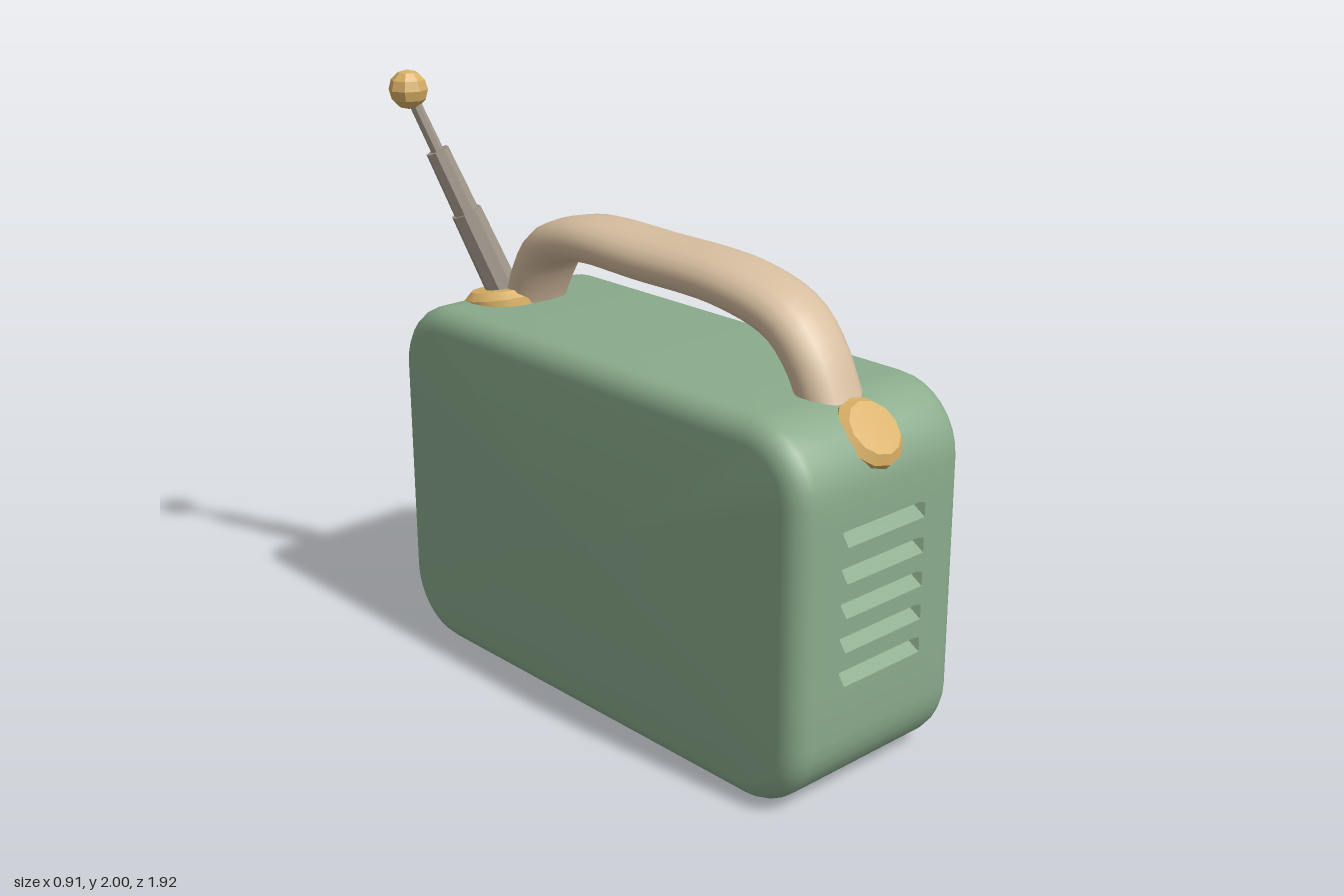
import * as THREE from 'three';
import { toCreasedNormals } from 'three/addons/utils/BufferGeometryUtils.js';

const paint = (name, color) => {
  const m = new THREE.MeshStandardMaterial({ color });
  m.name = name;
  return m;
};

export function createModel() {
  const green = paint('sage green', 0x8aab8c);
  const cream = paint('cream', 0xd6bd9f);
  const gold = paint('gold', 0xd9b066);
  const dark = paint('dark brown', 0x5c5148);
  const metal = paint('antenna grey', 0xa0968a);

  const model = new THREE.Group();
  model.name = 'radio';
  const add = (name, geometry, material, crease = 0.7) => {
    const mesh = new THREE.Mesh(toCreasedNormals(geometry, crease), material);
    mesh.name = name;
    model.add(mesh);
    return mesh;
  };
  const lathe = (pts, sides) =>
    new THREE.LatheGeometry(pts.map(([r, h]) => new THREE.Vector2(r, h)), sides);
  // turned part whose axis points out of the speaker face (+x)
  const faceLathe = (name, pts, sides, material, x, y, z, tilt = 0) => {
    const mesh = add(name, lathe(pts, sides), material);
    mesh.rotation.z = -Math.PI / 2 + tilt;
    mesh.position.set(x, y, z);
  };

  add('body', bodyGeometry(), green, 0.6);

  // speaker
  faceLathe('speakerRing', [[0.5, -0.01], [0.525, 0.015], [0.53, 0.045], [0.505, 0.078],
    [0.465, 0.085], [0.43, 0.065], [0.42, 0]], 32, cream, 0.285, 0.665, 0.22, 0.02);
  faceLathe('speakerCone', [[0.435, 0.055], [0.4, 0.052], [0.27, 0.035], [0.25, 0.042],
    [0.15, 0.032], [0.11, 0.055], [0.06, 0.072], [0, 0.077]], 32, dark, 0.285, 0.665, 0.22, 0.02);

  // knobs with their collars
  for (const [name, y, z, r, h, sides] of [
    ['largeKnob', 0.83, -0.625, 0.18, 0.17, 14],
    ['smallKnob', 0.36, -0.615, 0.122, 0.125, 10],
  ]) {
    faceLathe(name + 'Collar', [[r + 0.02, 0], [r + 0.012, 0.025], [0, 0.025]], 20, green, 0.283, y, z);
    faceLathe(name, [[r - 0.005, 0], [r, h - 0.025], [r - 0.02, h], [0, h]], sides, gold, 0.283, y, z);
  }

  // handle: a tube widened across x, widest in the middle
  const path = new THREE.CatmullRomCurve3([
    [0.78, 1.08], [0.73, 1.19], [0.67, 1.31], [0.57, 1.41], [0.35, 1.47], [0, 1.48],
    [-0.38, 1.475], [-0.53, 1.42], [-0.61, 1.31], [-0.66, 1.19], [-0.68, 1.1],
  ].map(([z, y]) => new THREE.Vector3(0, y, z)));
  const tube = new THREE.TubeGeometry(path, 40, 0.073, 16, false);
  const pos = tube.attributes.position;
  for (let i = 0; i < pos.count; i++) {
    const u = pos.getX(i) / 0.073;
    const width = 0.105 + 0.037 * Math.max(0, 1 - (pos.getZ(i) / 0.75) ** 2);
    pos.setX(i, -0.07 + Math.sign(u) * Math.abs(u) ** 0.7 * width);
  }
  add('handle', tube, cream, 1.0);

  // gold mounts for the handle and the antenna
  const mount = (name, r, x, y, z, rx) => {
    const mesh = add(name, lathe([[r, -0.06], [r, 0.025], [r - 0.025, 0.05], [0, 0.055]], 12), gold);
    mesh.position.set(x, y, z);
    mesh.rotation.x = rx;
  };
  mount('handleMount', 0.115, -0.07, 1.12, 0.865, 0.8);
  mount('antennaMount', 0.135, -0.155, 1.2, -0.71, -0.18);

  // telescopic antenna
  const at = (y) => new THREE.Vector3(-0.143 - 0.333 * (y - 1.2), y, -0.7 - 0.255 * (y - 1.2));
  const lean = at(2).sub(at(1)).normalize();
  for (const [name, y0, y1, r] of [
    ['antennaBase', 1.18, 1.52, 0.056],
    ['antennaMiddle', 1.5, 1.73, 0.042],
    ['antennaTip', 1.7, 1.93, 0.021],
  ]) {
    const a = at(y0), b = at(y1);
    const part = add(name, new THREE.CylinderGeometry(r * 0.95, r * 1.05, a.distanceTo(b), 8), metal);
    part.position.copy(a).lerp(b, 0.5);
    part.quaternion.setFromUnitVectors(new THREE.Vector3(0, 1, 0), lean);
  }
  add('antennaBall', new THREE.SphereGeometry(0.065, 8, 6), gold, 0.4).position.copy(at(1.935));

  return model;
}

// rounded case lofted along x, with vent grooves pressed into both ends
function bodyGeometry() {
  const halfZ = 0.952, halfY = 0.61, radius = 0.23, edge = 0.075;
  const vents = [0.425, 0.535, 0.645, 0.755, 0.87];

  const profile = (inset, depth) => {
    const pts = [];
    const r = radius - inset;
    const side = (s, list) => {
      for (const y of list) {
        const edgeZ = halfZ - inset;
        const trio = [[y - 0.03, 0], [y + 0.018, depth], [y + 0.025, 0]];
        if (s < 0) trio.reverse();
        for (const [py, d] of trio) pts.push([s * (edgeZ - d), py]);
      }
    };
    const corner = (sz, sy, start) => {
      for (let i = 0; i <= 8; i++) {
        const a = start + (i / 8) * Math.PI / 2;
        pts.push([sz * (halfZ - radius) + r * Math.cos(a), halfY + sy * (halfY - radius) + r * Math.sin(a)]);
      }
    };
    side(1, vents);
    corner(1, 1, 0);
    corner(-1, 1, Math.PI / 2);
    side(-1, [...vents].reverse());
    corner(-1, -1, Math.PI);
    corner(1, -1, Math.PI * 1.5);
    return pts;
  };

  // stations along x: [x, inset, groove depth]
  const stations = [];
  for (let i = 0; i <= 5; i++) {
    const a = (i / 5) * Math.PI / 2;
    stations.push([-0.43 + edge * (1 - Math.sin(a)), edge * (1 - Math.cos(a)), 0]);
  }
  stations.reverse();
  stations.forEach((s) => { s[0] = -0.43 + edge - (s[0] + 0.43); });
  const rim = stations.map(([x, inset]) => [x + 0.43, inset]);
  stations.length = 0;
  for (let i = 0; i < rim.length; i++) {
    const a = (i / 5) * Math.PI / 2;
    rim[i] = [edge * (1 - Math.cos(a)), edge * (1 - Math.sin(a))];
    stations.push([-0.43 + rim[i][0], rim[i][1], 0]);
  }
  stations.push([-0.25, 0, 0], [-0.225, 0, 0.035], [0.085, 0, 0.035], [0.11, 0, 0]);
  for (const [d, inset] of [...rim].reverse()) stations.push([0.29 - d, inset, 0]);

  const positions = [], index = [];
  let n = 0;
  for (const [x, inset, depth] of stations) {
    const ring = profile(inset, depth);
    n = ring.length;
    for (const [z, y] of ring) positions.push(x, y, z);
  }
  const last = (stations.length - 1) * n;
  const c0 = positions.length / 3;
  positions.push(-0.43, halfY, 0, 0.29, halfY, 0);
  for (let j = 0; j < n; j++) {
    const k = (j + 1) % n;
    for (let a = 0; a < last; a += n) index.push(a + j, a + n + j, a + k, a + n + j, a + n + k, a + k);
    index.push(c0, j, k, c0 + 1, last + k, last + j);
  }
  const geo = new THREE.BufferGeometry();
  geo.setAttribute('position', new THREE.Float32BufferAttribute(positions, 3));
  geo.setIndex(index);
  return geo;
}
